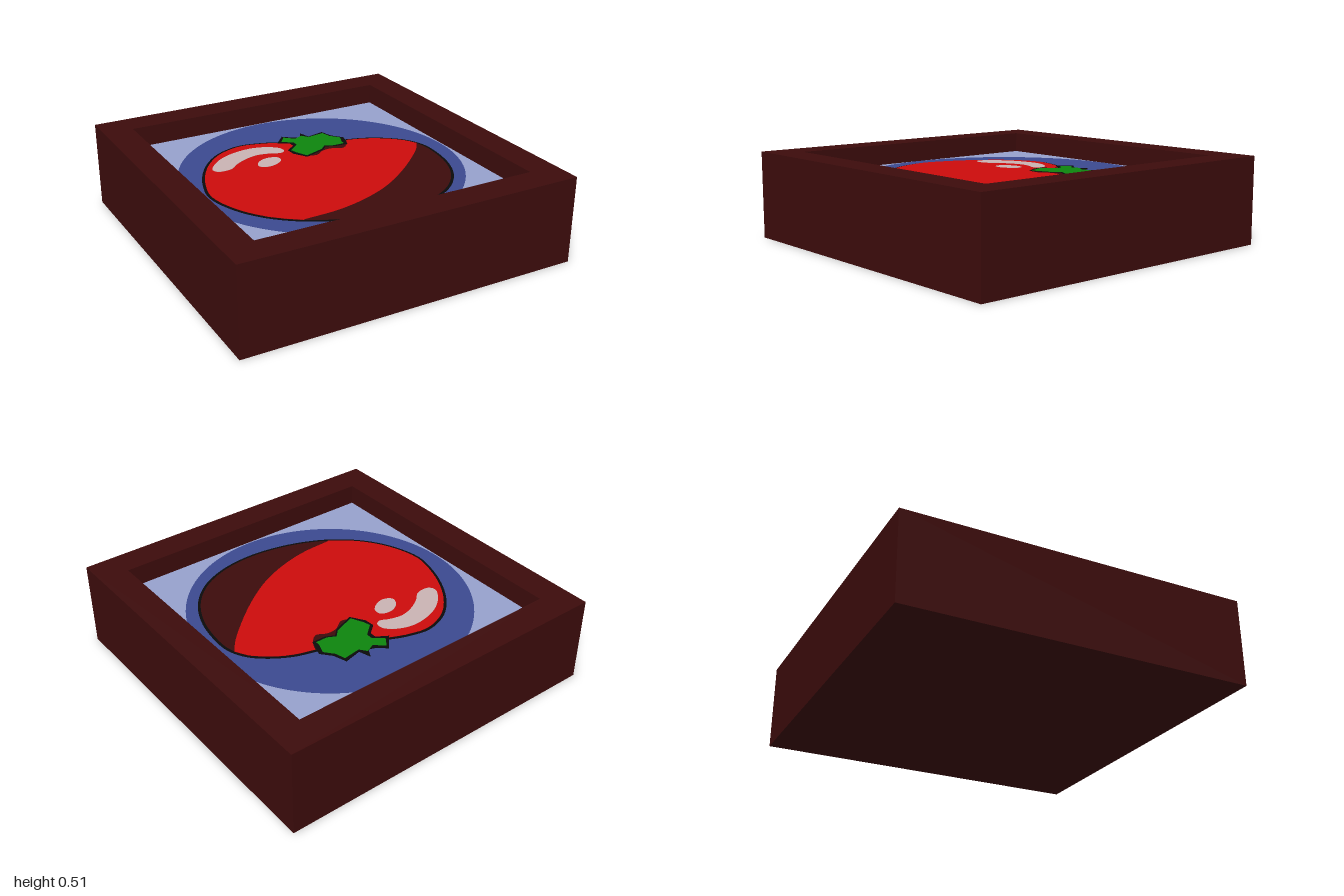
import * as THREE from 'three';

const mat = (name, color) => {
  const m = new THREE.MeshStandardMaterial({ color });
  m.name = name;
  return m;
};

const HEIGHT = 0.51, INNER = 0.825, FLOOR = 0.388, STEP = 0.0013;

// Outlines as [x, z] pairs seen from above
const BODY = [[-0.72, 0.05], [-0.685, -0.12], [-0.62, -0.27], [-0.53, -0.4], [-0.42, -0.495], [-0.27, -0.545],
  [-0.13, -0.52], [-0.02, -0.475], [0.14, -0.4], [0.33, -0.33], [0.46, -0.29], [0.58, -0.22], [0.67, -0.13],
  [0.715, -0.02], [0.715, 0.12], [0.68, 0.29], [0.6, 0.45], [0.47, 0.58], [0.3, 0.66], [0.1, 0.69],
  [-0.1, 0.67], [-0.28, 0.615], [-0.43, 0.535], [-0.57, 0.41], [-0.67, 0.25]];
const SHADE_EDGE = [[0.69, -0.06], [0.64, 0.01], [0.51, 0.14], [0.35, 0.275], [0.18, 0.39], [0, 0.47],
  [-0.19, 0.518], [-0.395, 0.53]];
const LEAF = [[-0.02, -0.465], [0.02, -0.52], [0.075, -0.47], [0.13, -0.495], [0.16, -0.455], [0.265, -0.47],
  [0.28, -0.41], [0.325, -0.355], [0.3, -0.29], [0.3, -0.265], [0.23, -0.265], [0.18, -0.29], [0.14, -0.25],
  [0.015, -0.205], [-0.02, -0.28], [-0.03, -0.32], [0.04, -0.38], [0.04, -0.42]];
const LEAF_LINE = [[-0.05, -0.46], [0.02, -0.54], [0.07, -0.495], [0.115, -0.48], [0.145, -0.535], [0.165, -0.465],
  [0.27, -0.49], [0.295, -0.41], [0.345, -0.35], [0.335, -0.31], [0.315, -0.25], [0.23, -0.252], [0.18, -0.277],
  [0.14, -0.237], [0.01, -0.19], [-0.04, -0.27], [-0.045, -0.33], [0.015, -0.38], [0.015, -0.42]];
const LEAF_SHADE = [[0.02, -0.21], [0.07, -0.19], [0.14, -0.232], [0.2, -0.235], [0.26, -0.21], [0.31, -0.25],
  [0.335, -0.32], [0.2, -0.34], [0.06, -0.3]];
const LONG_SHINE = [[-0.555, -0.28], [-0.5, -0.36], [-0.42, -0.42], [-0.315, -0.457], [-0.21, -0.463], [-0.12, -0.43],
  [-0.07, -0.38], [-0.07, -0.335], [-0.1, -0.318], [-0.155, -0.34], [-0.235, -0.355], [-0.315, -0.335],
  [-0.395, -0.29], [-0.45, -0.243], [-0.5, -0.233], [-0.54, -0.243]];
const SMALL_SHINE = [[-0.3, -0.21], [-0.27, -0.26], [-0.21, -0.286], [-0.15, -0.27], [-0.145, -0.227], [-0.18, -0.19],
  [-0.245, -0.168], [-0.29, -0.185]];

// Points are stored as (x, -z) so that laying the shape flat restores z
const toVectors = (pairs) => pairs.map(([x, z]) => new THREE.Vector2(x, -z));

function smooth(pairs, closed = true, count = 120) {
  const curve = new THREE.CatmullRomCurve3(pairs.map(([x, z]) => new THREE.Vector3(x, -z, 0)), closed);
  const pts = curve.getPoints(count).map((p) => new THREE.Vector2(p.x, p.y));
  if (closed) pts.pop();
  return pts;
}

// Shrink a clockwise loop by distance d
function inset(pts, d) {
  const n = pts.length;
  return pts.map((p, i) => {
    const t = pts[(i + 1) % n].clone().sub(pts[(i + n - 1) % n]).normalize();
    return new THREE.Vector2(p.x + t.y * d, p.y - t.x * d);
  });
}

function flatExtrude(shape, depth, y) {
  const geo = new THREE.ExtrudeGeometry(shape, { depth, bevelEnabled: false, curveSegments: 64 });
  return geo.rotateX(-Math.PI / 2).translate(0, y, 0);
}

const squareLoop = (h) => [[-h, h], [h, h], [h, -h], [-h, -h]];

export function createModel() {
  const model = new THREE.Group();
  model.name = 'framedTomatoPicture';

  const wood = mat('darkWood', 0x3d0c0c);
  const paleBlue = mat('paleBlue', 0x96a1cd);
  const blue = mat('deepBlue', 0x3c4a90);
  const black = mat('lineBlack', 0x0a0a0a);
  const red = mat('tomatoRed', 0xcd0c0c);
  const green = mat('leafGreen', 0x0e850e);
  const shine = mat('shineGrey', 0xcab3b3);

  const add = (name, geo, material) => {
    const mesh = new THREE.Mesh(geo, material);
    mesh.name = name;
    model.add(mesh);
  };
  // Thin painted plate on the panel, higher layers cover lower ones
  const paint = (name, pts, layer, material) =>
    add(name, flatExtrude(new THREE.Shape(pts), layer * STEP, FLOOR), material);

  // Square frame with a closed back
  const frame = new THREE.Shape(toVectors(squareLoop(1)));
  frame.holes.push(new THREE.Path(toVectors(squareLoop(INNER))));
  add('frame', flatExtrude(frame, HEIGHT, 0), wood);
  const backHeight = FLOOR - 0.006;
  add('backing', new THREE.BoxGeometry(INNER * 2, backHeight, INNER * 2).translate(0, backHeight / 2, 0), wood);

  // Recessed panel and round backdrop
  add('panel', new THREE.BoxGeometry(INNER * 2, 0.006, INNER * 2).translate(0, FLOOR - 0.003, 0), paleBlue);
  add('backdropDisc', flatExtrude(new THREE.Shape().absarc(0, 0, 0.816, 0, Math.PI * 2), STEP, FLOOR), blue);

  // Tomato: black line, shaded body, lit face
  const outer = smooth(BODY);
  const inner = inset(outer, 0.016);
  paint('tomatoOutline', outer, 2, black);
  paint('tomatoShade', inner, 3, wood);

  // Lit face keeps the loop above the shade chord and closes along the shade edge
  const edge = smooth(SHADE_EDGE, false, 40);
  const a = edge[0], b = edge[edge.length - 1];
  const isLit = (p) => (b.x - a.x) * (p.y - a.y) - (b.y - a.y) * (p.x - a.x) < 0;
  const start = inner.findIndex((p) => !isLit(p));
  const lit = [...inner.slice(0, start), ...edge, ...inner.slice(start).filter(isLit)];
  paint('tomatoFace', lit, 4, red);

  // Leaf with its cast shade and line
  paint('leafShade', smooth(LEAF_SHADE), 5, wood);
  paint('leafOutline', toVectors(LEAF_LINE), 6, black);
  paint('leaf', toVectors(LEAF), 7, green);

  // Shine marks
  paint('longShine', smooth(LONG_SHINE), 5, shine);
  paint('smallShine', smooth(SMALL_SHINE), 5, shine);

  return model;
}
